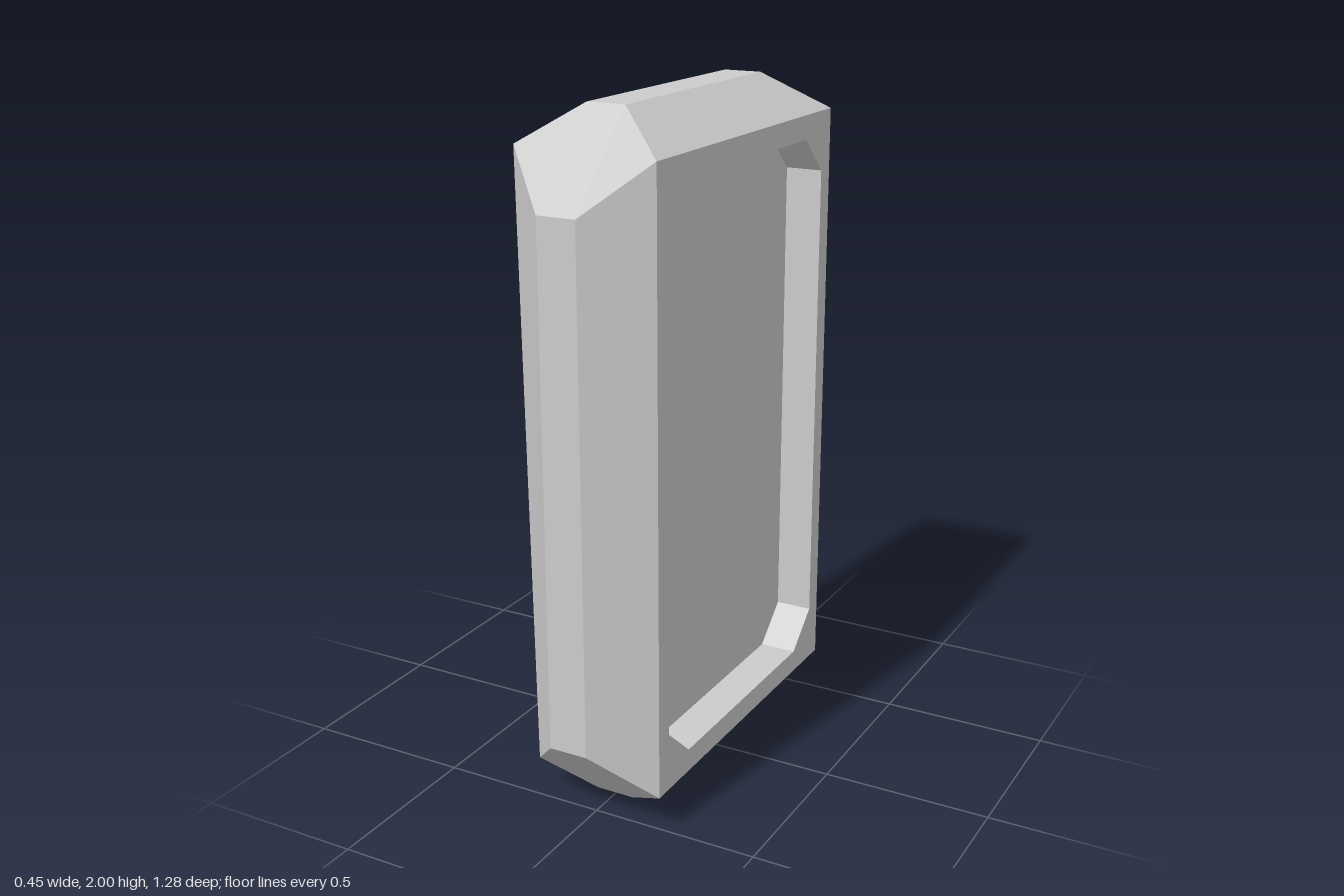
import * as THREE from 'three';

const material = new THREE.MeshStandardMaterial({ color: 0xcccccc, flatShading: true });

// Chamfered rectangle in the zy plane; x may lean from xBottom to xTop.
// Equal inner and outer extents give a plain rectangle.
function ring(xBottom, xTop, zInner, zOuter, yBottom, yLow, yHigh, yTop) {
  const half = [[zInner, yBottom], [zOuter, yLow], [zOuter, yHigh], [zInner, yTop]];
  const mirrored = half.map(([z, y]) => [-z, y]).reverse();
  return [...half, ...mirrored].map(([z, y]) => new THREE.Vector3(y > 1 ? xTop : xBottom, y, z));
}

// Joins successive rings with flat faces and optionally caps the two ends.
function loft(name, rings, capStart, capEnd) {
  const points = [];
  const triangle = (a, b, c) => {
    const area = b.clone().sub(a).cross(c.clone().sub(a)).length();
    if (area > 1e-7) points.push(a, b, c);
  };
  for (let i = 0; i < rings.length - 1; i++) {
    const a = rings[i], b = rings[i + 1];
    for (let j = 0; j < 8; j++) {
      const k = (j + 1) % 8;
      triangle(a[j], b[j], b[k]);
      triangle(a[j], b[k], a[k]);
    }
  }
  const first = rings[0], last = rings[rings.length - 1];
  for (let j = 1; j < 7; j++) {
    if (capStart) triangle(first[0], first[j], first[j + 1]);
    if (capEnd) triangle(last[0], last[j + 1], last[j]);
  }
  const geometry = new THREE.BufferGeometry().setFromPoints(points);
  geometry.computeVertexNormals();
  const mesh = new THREE.Mesh(geometry, material);
  mesh.name = name;
  return mesh;
}

export function createModel() {
  const group = new THREE.Group();
  group.name = 'bevelledCase';

  const plainSide = ring(-0.2, -0.225, 0.485, 0.485, 0.11, 0.11, 1.893, 1.893);
  const girdle = x => ring(x, x, 0.39, 0.64, 0, 0.255, 1.75, 2);
  const recessedSide = ring(0.222, 0.222, 0.527, 0.527, 0.117, 0.117, 1.89, 1.89);
  const recess = x => ring(x, x, 0.355, 0.47, 0.185, 0.288, 1.713, 1.82);

  // Faceted outer shell, ending in the flat rim around the recess
  group.add(loft('shell', [plainSide, girdle(-0.06), girdle(0.055), recessedSide, recess(0.222)], true, false));

  // Straight walls and floor of the recess
  group.add(loft('recessPanel', [recess(0.222), recess(0.11)], false, true));

  return group;
}
